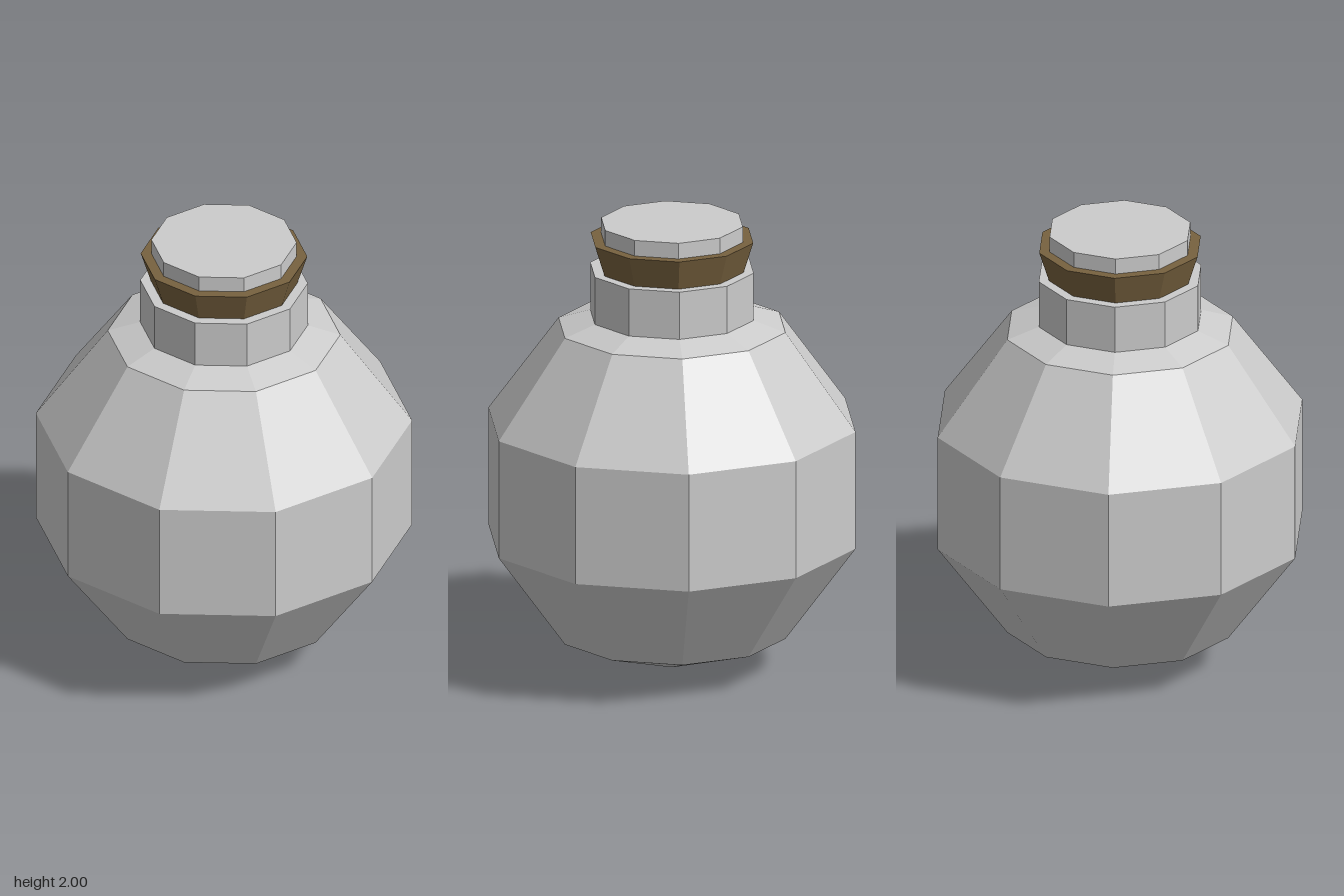
import * as THREE from 'three';

const SIDES = 10;

export function createModel() {
  const flask = new THREE.Group();
  flask.name = 'flask';
  const glass = new THREE.MeshStandardMaterial({ color: 0xcccccc, flatShading: true });
  const brown = new THREE.MeshStandardMaterial({ color: 0x78623f, flatShading: true });

  const add = (name, geometry, material) => {
    const mesh = new THREE.Mesh(geometry, material);
    mesh.name = name;
    flask.add(mesh);
  };
  // Ten-sided section from y0 to y1 with a corner facing the front
  const section = (name, rTop, rBottom, y0, y1, material) =>
    add(name, new THREE.CylinderGeometry(rTop, rBottom, y1 - y0, SIDES).translate(0, (y0 + y1) / 2, 0), material);

  // Faceted round body, turned so its corners line up with the neck
  const body = new THREE.SphereGeometry(0.85, SIDES, 5);
  body.rotateY(Math.PI / 2).translate(0, 0.85, 0);
  add('body', body, glass);

  // Neck, flared collar and stopper
  section('neck', 0.36, 0.36, 1.56, 1.795, glass);
  section('collar', 0.358, 0.315, 1.795, 1.93, brown);
  section('stopper', 0.312, 0.312, 1.93, 2, glass);

  return flask;
}
